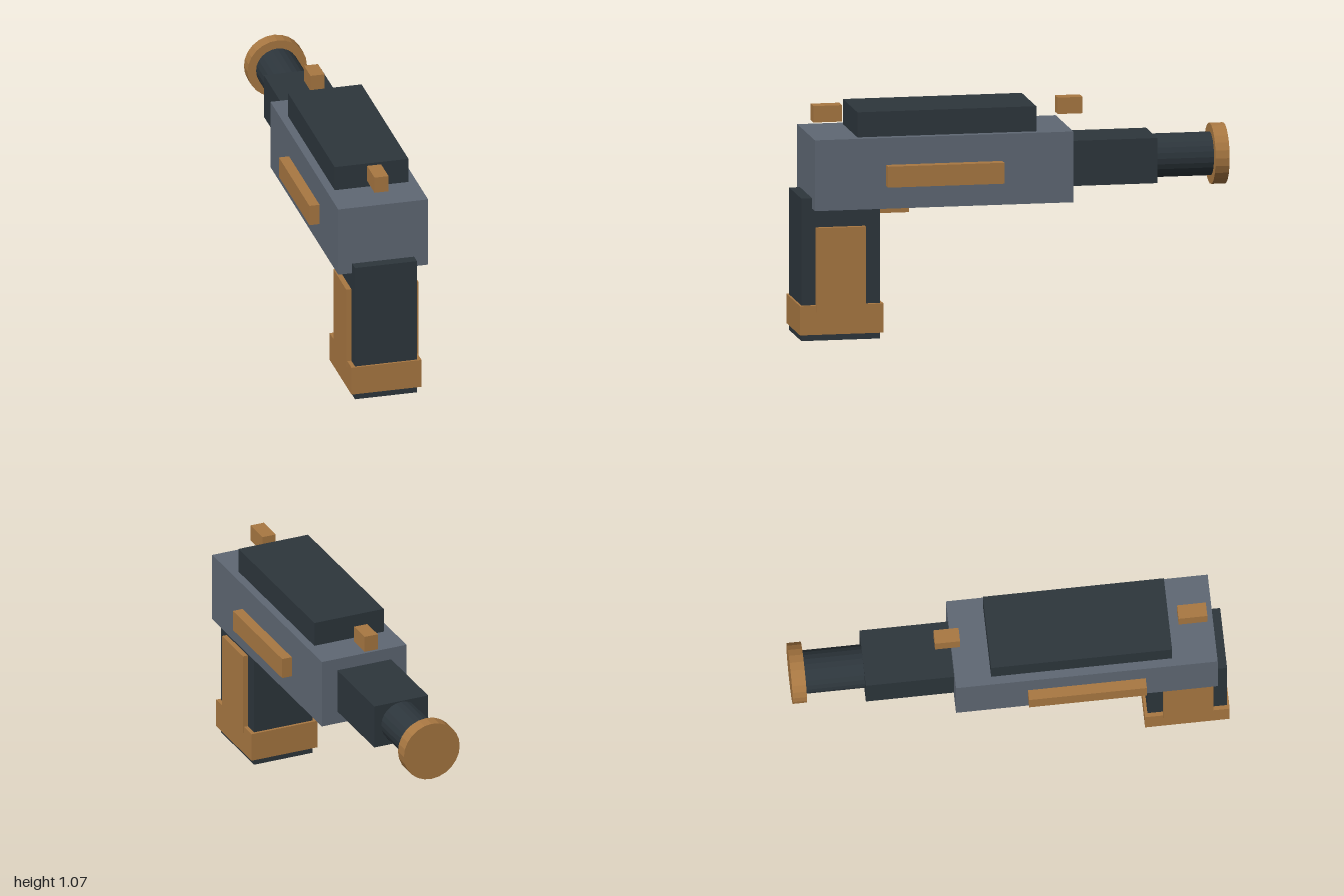
import * as THREE from 'three';

export function createModel() {
  const group = new THREE.Group();
  const material = (name, color) => {
    const m = new THREE.MeshStandardMaterial({ color, flatShading: true });
    m.name = name;
    return m;
  };
  const dark = material('dark gunmetal', 0x2d363c);
  const grey = material('steel grey', 0x5f6874);
  const bronze = material('bronze', 0xa97842);

  const add = (name, geometry, mat, x, y, z) => {
    const mesh = new THREE.Mesh(geometry, mat);
    mesh.name = name;
    mesh.position.set(x, y, z);
    group.add(mesh);
    return mesh;
  };
  // Box given by its extents on each axis
  const box = (name, mat, [x0, x1], [y0, y1], [z0, z1]) =>
    add(name, new THREE.BoxGeometry(x1 - x0, y1 - y0, z1 - z0), mat,
      (x0 + x1) / 2, (y0 + y1) / 2, (z0 + z1) / 2);
  // Cylinder lying along z
  const tube = (name, mat, r, z0, z1) =>
    add(name, new THREE.CylinderGeometry(r, r, z1 - z0, 24).rotateX(Math.PI / 2), mat,
      0, 0.778, (z0 + z1) / 2);

  // Receiver and top slide
  box('body', grey, [-0.212, 0.212], [0.612, 0.94], [-0.26, 0.94]);
  box('topSlide', dark, [-0.174, 0.174], [0.92, 1.056], [-0.095, 0.735]);

  // Barrel
  box('barrelShroud', dark, [-0.135, 0.135], [0.673, 0.882], [-0.665, -0.24]);
  tube('barrel', dark, 0.1, -0.95, -0.64);
  tube('muzzle', bronze, 0.14, -1, -0.935);

  // Grip
  box('grip', dark, [-0.146, 0.146], [0, 0.66], [0.625, 0.99]);
  box('gripBand', bronze, [-0.165, 0.165], [0.03, 0.165], [0.612, 1]);

  // Grip panels and side rails, mirrored
  for (const [side, s] of [['left', 1], ['right', -1]]) {
    const span = (a, b) => (s > 0 ? [a, b] : [-b, -a]);
    box(side + 'GripPanel', bronze, span(0.14, 0.17), [0.135, 0.525], [0.695, 0.925]);
    box(side + 'Rail', bronze, span(0.2, 0.26), [0.718, 0.815], [0.07, 0.61]);
  }

  // Trigger and sights
  box('trigger', bronze, [-0.035, 0.035], [0.56, 0.63], [0.47, 0.64]);
  box('rearSight', bronze, [-0.033, 0.033], [0.99, 1.066], [0.78, 0.912]);
  box('frontSight', bronze, [-0.033, 0.033], [0.99, 1.066], [-0.337, -0.222]);

  return group;
}
